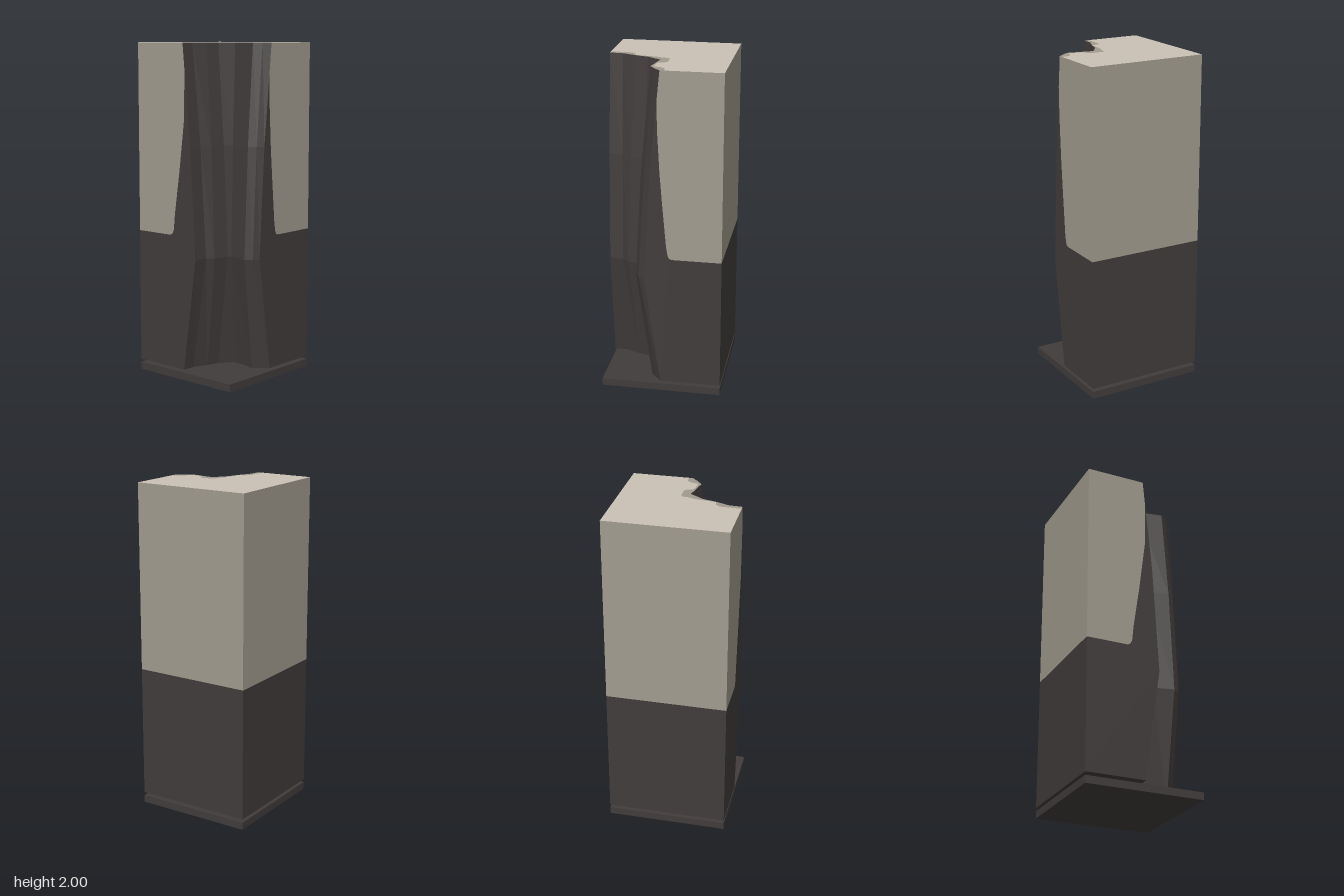
import * as THREE from 'three';

const H = 0.363, TOP = 2, BOTTOM = 0.065, BAND = 0.87;

// Broken corner outline (x, z): at the rim and where it is widest
const RIM = [[-H, 0], [-0.285, 0.005], [-0.2, 0.04], [-0.125, 0.062], [-0.04, 0.12], [-0.068, 0.28], [-0.035, 0.325], [0, H]];
const WAIST = [[-H, 0.095], [-0.28, 0.103], [-0.24, 0.135], [-0.15, 0.158], [-0.13, 0.17], [-0.16, 0.298], [-0.135, 0.34], [-0.1, H]];
// Height and blend from rim outline to waist outline
const LEVELS = [[TOP, 0], [1.4, 0.6], [0.74, 1], [BOTTOM, 0]];

export function createModel() {
  const group = new THREE.Group();
  const material = (name, color) => {
    const m = new THREE.MeshStandardMaterial({ color });
    m.name = name;
    return m;
  };
  const cream = material('cream top', 0xcac1b5);
  const stone = material('grey stone', 0xa19b8e);
  const charcoal = material('charcoal', 0x423c3c);

  const addMesh = (name, geometry, mat) => {
    const mesh = new THREE.Mesh(geometry, mat);
    mesh.name = name;
    group.add(mesh);
  };

  // Flat polygon placed by a mapping and turned to face the given normal
  const addPanel = (name, outline, map, normal, mat) => {
    const flat = outline.map(([a, b]) => new THREE.Vector2(a, b));
    const points = flat.map((p) => new THREE.Vector3(...map(p.x, p.y)));
    const facing = new THREE.Vector3(...normal);
    const corners = [];
    for (const [i, j, k] of THREE.ShapeUtils.triangulateShape(flat, [])) {
      const [a, b, c] = [points[i], points[j], points[k]];
      const n = b.clone().sub(a).cross(c.clone().sub(a));
      corners.push(...(n.dot(facing) > 0 ? [a, b, c] : [a, c, b]));
    }
    const geometry = new THREE.BufferGeometry().setFromPoints(corners);
    geometry.computeVertexNormals();
    addMesh(name, geometry, mat);
  };
  const rect = (a0, b0, a1, b1) => [[a0, b0], [a1, b0], [a1, b1], [a0, b1]];

  // Base plate, separated from the block by a thin gap
  const base = new THREE.BoxGeometry(2 * H, 0.045, 2 * H);
  base.translate(0, 0.0225, 0);
  addMesh('basePlate', base, charcoal);

  // Unbroken sides: stone above, charcoal below
  const onBack = (x, y) => [x, y, -H];
  const onRight = (z, y) => [H, y, z];
  for (const [name, map, normal] of [['back', onBack, [0, 0, -1]], ['left', onRight, [1, 0, 0]]]) {
    addPanel(name + 'Upper', rect(-H, BAND, H, TOP), map, normal, stone);
    addPanel(name + 'Lower', rect(-H, BOTTOM, H, BAND), map, normal, charcoal);
  }

  // Broken corner wall, lofted through the levels
  const rings = LEVELS.map(([y, t]) => RIM.map(([x, z], i) => new THREE.Vector3(
    THREE.MathUtils.lerp(x, WAIST[i][0], t), y, THREE.MathUtils.lerp(z, WAIST[i][1], t))));
  const wall = [];
  for (let r = 0; r < rings.length - 1; r++) {
    for (let i = 0; i < RIM.length - 1; i++) {
      const [a, b, c, d] = [rings[r][i], rings[r][i + 1], rings[r + 1][i + 1], rings[r + 1][i]];
      wall.push(a, d, c, a, c, b);
    }
  }
  const wallGeometry = new THREE.BufferGeometry().setFromPoints(wall);
  wallGeometry.computeVertexNormals();
  addMesh('brokenCorner', wallGeometry, charcoal);

  // Partly broken sides: the charcoal sweeps up along the fracture
  const addBrokenSide = (name, edge, seam, far, map, normal) => {
    addPanel(name + 'Upper', [edge[0], ...seam, [far, BAND], [far, TOP]], map, normal, stone);
    addPanel(name + 'Lower', [...seam, [far, BAND], [far, BOTTOM], ...edge.slice(1).reverse()], map, normal, charcoal);
  };
  const frontEdge = rings.map((ring) => [ring[RIM.length - 1].x, ring[0].y]);
  addBrokenSide('front', frontEdge,
    [[-0.018, 1.82], [-0.015, 1.65], [-0.002, 1.4], [0.012, 1.22], [0.035, 0.95], [0.044, 0.895], [0.054, 0.875], [0.07, BAND]],
    H, (x, y) => [x, y, H], [0, 0, 1]);
  const sideEdge = rings.map((ring) => [ring[0].z, ring[0].y]);
  addBrokenSide('right', sideEdge,
    [[0.0143, 1.85], [0.01, 1.56], [-0.03, 1.25], [-0.068, 1], [-0.078, 0.905], [-0.088, 0.88], [-0.105, BAND]],
    -H, (z, y) => [-H, y, z], [-1, 0, 0]);

  // Top face with a worn stone border beside the fracture
  const border = [[-H, -0.028], [-0.235, -0.025], [-0.212, -0.005], [-0.203, 0.036], [-0.13, 0.044], [-0.07, 0.053],
    [-0.04, 0.068], [0, 0.072], [0.01, 0.09], [0.01, 0.165], [-0.01, 0.182], [-0.044, 0.195], [-0.05, 0.28],
    [0, 0.296], [0.02, 0.312], [0.026, H]];
  const onTop = (x, z) => [x, TOP, z];
  addPanel('topFace', [...border, [H, H], [H, -H], [-H, -H]], onTop, [0, 1, 0], cream);
  addPanel('topBorder', [...border, ...[...RIM].reverse()], onTop, [0, 1, 0], stone);

  // Underside of the block
  addPanel('underside', [...RIM, [H, H], [H, -H], [-H, -H]], (x, z) => [x, BOTTOM, z], [0, -1, 0], charcoal);

  return group;
}
